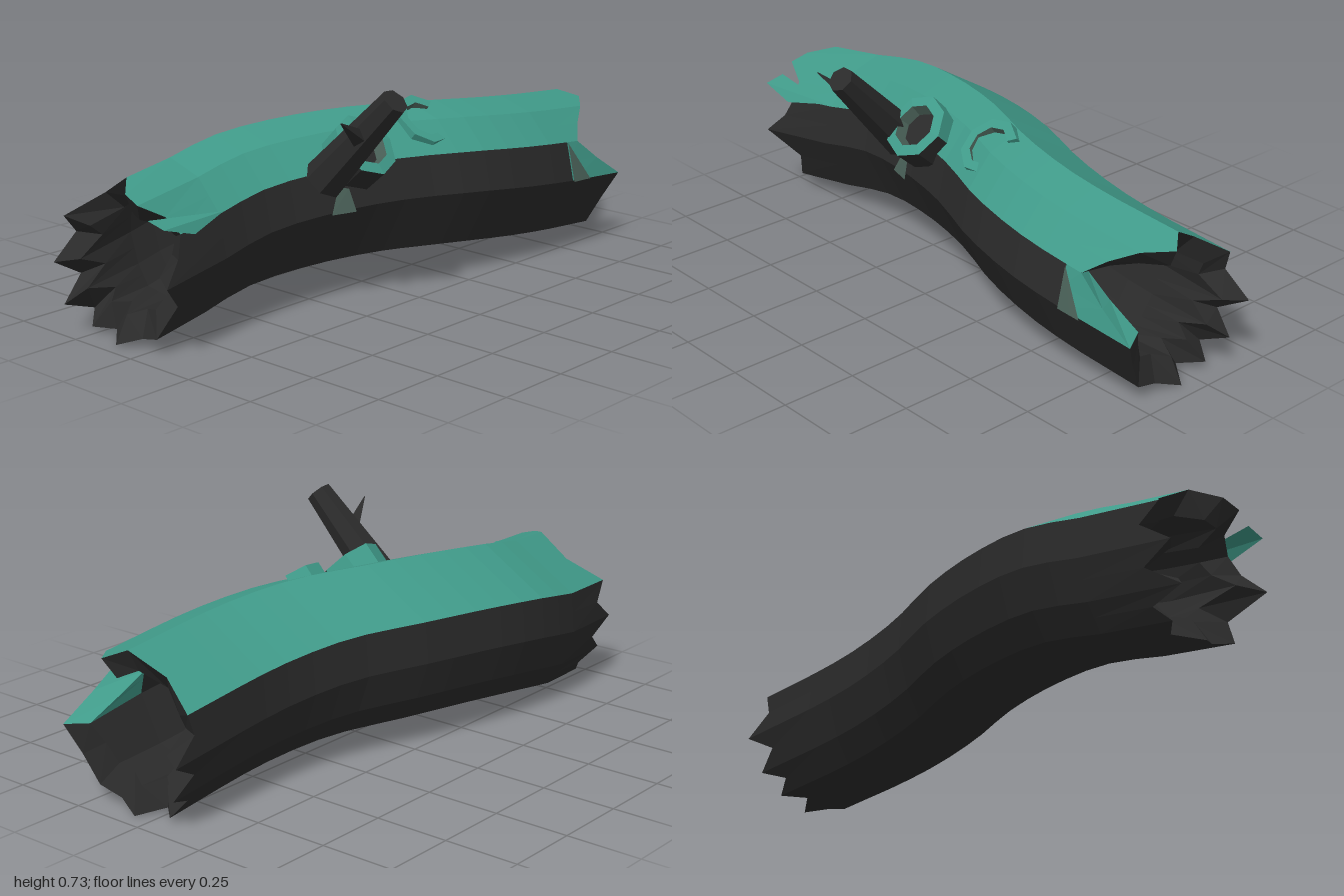
import * as THREE from 'three';

const mat = (name, color) => new THREE.MeshStandardMaterial({ name, color, side: THREE.DoubleSide, flatShading: true });

// centre line of the log, evenly spaced in x from -1 to 1
const spine = new THREE.CatmullRomCurve3([
  [-1, 0.255, -0.1], [-0.75, 0.272, -0.143], [-0.5, 0.312, -0.162], [-0.25, 0.33, -0.125], [0, 0.333, -0.06],
  [0.25, 0.325, 0.033], [0.5, 0.303, 0.078], [0.75, 0.278, 0.083], [1, 0.255, 0.073],
].map(p => new THREE.Vector3(...p)), false, 'catmullrom', 0.5);

// cross-section corners: angle from +z towards +y, radius
const corners = [[27, 0.247], [58, 0.248], [88, 0.25], [155, 0.25], [187, 0.241],
  [218, 0.25], [239, 0.275], [267, 0.257], [306, 0.257], [356, 0.25]]
  .map(([a, r]) => new THREE.Vector2(r * Math.cos(a * Math.PI / 180), r * Math.sin(a * Math.PI / 180)));
// each edge also gets its midpoint, so that the broken ends can be jagged
const section = corners.flatMap((c, i) => [c, c.clone().lerp(corners[(i + 1) % corners.length], 0.5)]);
const N = section.length;

// x of every splinter at the two broken ends
const rightEnd = [0.76, 0.82, 0.9, 0.98, 0.93, 0.89, 0.93, 0.91, 1, 0.9, 0.97, 0.88, 0.93, 0.87, 0.95, 0.92, 0.93, 0.95, 0.98, 0.86];
const leftEnd = [-0.88, -0.9, -0.98, -0.97, -0.9, -0.88, -0.96, -0.9, -1, -0.9, -1, -0.89, -0.93, -0.88, -0.95, -0.91, -0.93, -0.88, -0.98, -0.91];

const STEPS = 16, REACH = 0.7;
function logPoint(i, j, inner) {
  j %= N;
  let x = -REACH + 2 * REACH * (i - 1) / (STEPS - 2);
  if (i === 0) x = leftEnd[j] + (inner ? 0.05 : 0);
  if (i === STEPS) x = rightEnd[j] - (inner ? 0.04 : 0);
  const c = spine.getPoint((x + 1) / 2);
  // the hollow narrows a little at the broken ends
  const k = !inner ? 1 : i === 0 || i === STEPS ? 0.69 : 0.77;
  return [x, c.y + section[j].y * k, c.z + section[j].x * k];
}

function faceMesh(name, quads, material) {
  const pos = [];
  for (const [a, b, c, d] of quads) pos.push(...a, ...b, ...c, ...a, ...c, ...d);
  const g = new THREE.BufferGeometry();
  g.setAttribute('position', new THREE.Float32BufferAttribute(pos, 3));
  g.computeVertexNormals();
  const m = new THREE.Mesh(g, material);
  m.name = name;
  return m;
}

export function createModel() {
  const bark = mat('charcoal bark', 0x2a2a2a);
  const moss = mat('teal moss', 0x409a89);
  const shade = mat('grey green moss', 0x4a6158);
  const model = new THREE.Group();
  model.name = 'hollowLog';
  const add = (name, geo, material, parent = model) => {
    const m = new THREE.Mesh(geo, material);
    m.name = name;
    parent.add(m);
    return m;
  };

  // hollow trunk: outer skin split into moss and bark, inner wall, broken rims
  const mossQuads = [], barkQuads = [], innerQuads = [], rimQuads = [];
  for (let j = 0; j < N; j++) {
    const splinter = j >= 18; // the mossy splinter at the right end
    for (let i = 0; i < STEPS; i++) {
      const ring = inner => [logPoint(i, j, inner), logPoint(i + 1, j, inner),
        logPoint(i + 1, j + 1, inner), logPoint(i, j + 1, inner)];
      const mossyEnd = splinter && i === STEPS - 1;
      (j < 6 || mossyEnd ? mossQuads : barkQuads).push(ring(false));
      (mossyEnd ? mossQuads : innerQuads).push(ring(true).reverse());
    }
    const rim = i => [logPoint(i, j, false), logPoint(i, j, true), logPoint(i, j + 1, true), logPoint(i, j + 1, false)];
    (splinter ? mossQuads : rimQuads).push(rim(STEPS));
    rimQuads.push(rim(0).reverse());
  }
  model.add(faceMesh('mossTop', mossQuads, moss), faceMesh('barkShell', barkQuads, bark),
    faceMesh('hollowWall', innerQuads, bark), faceMesh('brokenRims', rimQuads, bark));

  // mossy flap peeling off the left end
  model.add(faceMesh('mossFlap', [[[-0.7, 0.405, 0.09], [-0.98, 0.43, 0.07], [-0.98, 0.415, 0.14], [-0.86, 0.378, 0.138]]], moss));

  // small dull moss patches on the front bark
  model.add(faceMesh('mossPatch', [[[-0.285, 0.312, 0.137], [-0.2, 0.312, 0.162], [-0.21, 0.385, 0.138], [-0.245, 0.39, 0.125]]], shade));
  model.add(faceMesh('splinterPatch', [[[0.7, 0.393, 0.309], [0.7, 0.262, 0.339], [0.75, 0.26, 0.34], [0.79, 0.258, 0.34]]], shade));

  // raised knot rings, each a many-sided collar
  const V = (x, y) => new THREE.Vector2(x, y);
  const collar = (name, pos, tilt) => {
    const g = new THREE.Group();
    g.name = name;
    g.position.set(...pos);
    g.rotation.x = tilt;
    model.add(g);
    return g;
  };
  const PI = Math.PI;
  const knot = collar('knotHole', [-0.15, 0.452, 0.085], 0.82);
  add('knotBackWall', new THREE.LatheGeometry([V(0.108, 0), V(0.112, 0.095)], 4, PI / 2, PI), moss, knot);
  add('knotFrontWall', new THREE.LatheGeometry([V(0.108, 0), V(0.112, 0.095)], 4, -PI / 2, PI), bark, knot);
  add('knotRim', new THREE.LatheGeometry([V(0.112, 0.095), V(0.075, 0.1)], 8), moss, knot);
  add('knotInside', new THREE.LatheGeometry([V(0.075, 0.1), V(0.06, 0.05)], 8), shade, knot);
  add('knotFloor', new THREE.CylinderGeometry(0.065, 0.065, 0.01, 8), bark, knot).position.y = 0.055;

  const half = collar('openKnot', [0.165, 0.49, 0.08], 0.7);
  const start = 125 * PI / 180, sweep = 260 * PI / 180;
  add('openKnotWall', new THREE.LatheGeometry([V(0.103, 0), V(0.1, 0.068), V(0.068, 0.068)], 6, start, sweep), moss, half);
  add('openKnotInside', new THREE.LatheGeometry([V(0.068, 0.068), V(0.062, 0)], 6, start, sweep), shade, half);
  for (const a of [start, start + sweep]) {
    const end = add('openKnotEnd', new THREE.PlaneGeometry(0.036, 0.068), moss, half);
    end.position.set(0.083 * Math.sin(a), 0.034, 0.083 * Math.cos(a));
    end.rotation.y = a - PI / 2;
  }

  // broken branch stub with a thorn
  const limb = (name, from, to, r0, r1, sides) => {
    const a = new THREE.Vector3(...from), b = new THREE.Vector3(...to), d = b.clone().sub(a);
    const m = add(name, new THREE.CylinderGeometry(r1, r0, d.length(), sides), bark);
    m.position.copy(a).lerp(b, 0.5);
    m.quaternion.setFromUnitVectors(new THREE.Vector3(0, 1, 0), d.normalize());
  };
  limb('branch', [-0.28, 0.42, 0.1], [-0.255, 0.705, 0.37], 0.07, 0.044, 7);
  limb('thorn', [-0.27, 0.565, 0.25], [-0.44, 0.66, 0.32], 0.035, 0.002, 4);

  return model;
}
